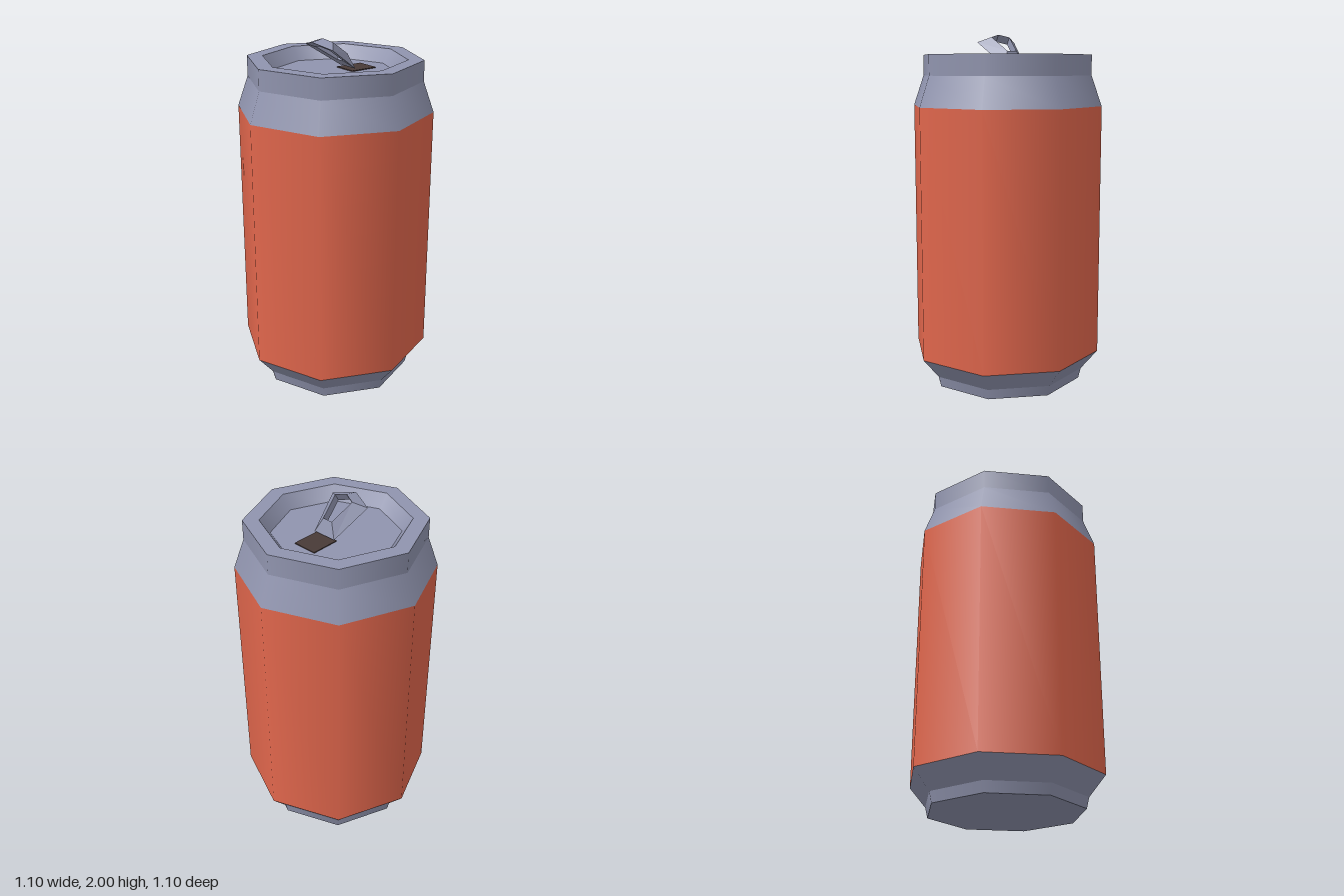
import * as THREE from 'three';

const SIDES = 8;

export function createModel() {
  const mat = (name, color) => {
    const m = new THREE.MeshStandardMaterial({ color });
    m.name = name;
    return m;
  };
  const metal = mat('metal', 0x9094ae);
  const red = mat('red paint', 0xe0664c);
  const dark = mat('dark opening', 0x483a37);

  const model = new THREE.Group();
  model.name = 'drinkCan';
  const add = (name, geometry, material, parent = model) => {
    const mesh = new THREE.Mesh(geometry, material);
    mesh.name = name;
    parent.add(mesh);
    return mesh;
  };

  // Can shell: one eight-sided band per profile step, so creases between bands stay sharp
  const bands = [
    ['base', 0, 0, 0.44, 0, metal],
    ['foot', 0.44, 0, 0.455, 0.06, metal],
    ['lowerTaper', 0.455, 0.06, 0.55, 0.175, metal],
    ['body', 0.55, 0.175, 0.55, 1.6, red],
    ['neck', 0.55, 1.6, 0.49, 1.77, metal],
    ['rimSide', 0.49, 1.77, 0.49, 1.885, metal],
    ['rimTop', 0.49, 1.885, 0.402, 1.885, metal],
    ['rimInside', 0.402, 1.885, 0.347, 1.81, metal],
    ['lid', 0.347, 1.81, 0, 1.81, metal],
  ];
  for (const [name, r0, y0, r1, y1, material] of bands) {
    const profile = [new THREE.Vector2(r0, y0), new THREE.Vector2(r1, y1)];
    add(name, new THREE.LatheGeometry(profile, SIDES), material);
  }

  // Mouth opening: thin dark plate on the lid
  const opening = add('mouthOpening', new THREE.BoxGeometry(0.165, 0.008, 0.14), dark);
  opening.position.set(0.1525, 1.811, 0);

  // Pull tab: a tilted five-sided ring with a sloping outside and a straight hole
  const lowerY = (x) => 1.985 - 0.667 * (x + 0.15);
  const upperY = (x) => 2.0 - 0.65 * (x + 0.08);
  const outer = [[-0.15, 0], [-0.105, 0.125], [0.09, 0.07], [0.09, -0.07], [-0.105, -0.125]]
    .map(([x, z]) => [x, lowerY(x), z]);
  const top = [[-0.078, 0], [-0.055, 0.06], [0.065, 0.03], [0.065, -0.03], [-0.055, -0.06]]
    .map(([x, z]) => [x, upperY(x), z]);
  const hole = top.map(([x, y, z]) => [x - 0.025, y - 0.04, z]);
  const loops = [outer, top, hole, outer];
  const positions = [];
  for (let k = 0; k < 3; k++) {
    for (let i = 0; i < 5; i++) {
      const j = (i + 1) % 5;
      const a = loops[k][i], b = loops[k][j], c = loops[k + 1][j], d = loops[k + 1][i];
      positions.push(...a, ...b, ...c, ...a, ...c, ...d);
    }
  }
  const tab = new THREE.BufferGeometry();
  tab.setAttribute('position', new THREE.Float32BufferAttribute(positions, 3));
  tab.computeVertexNormals();
  add('pullTab', tab, metal);

  return model;
}
